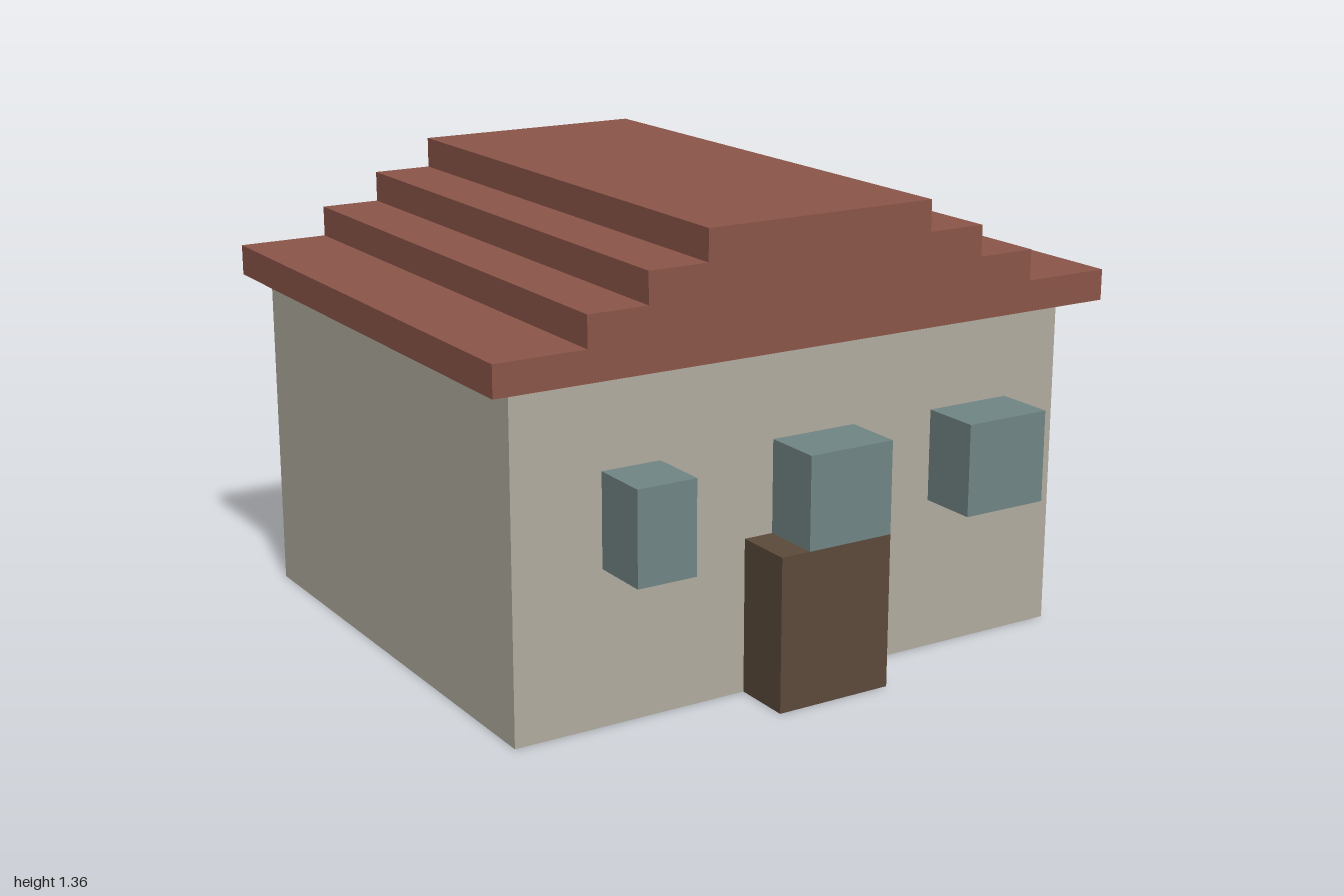
import * as THREE from 'three';

const U = 1 / 11; // one building module

function material(name, color) {
  const m = new THREE.MeshStandardMaterial({ color });
  m.name = name;
  return m;
}

// Box given by its limits, in modules
function block(name, mat, [x0, x1], [y0, y1], [z0, z1]) {
  const geo = new THREE.BoxGeometry((x1 - x0) * U, (y1 - y0) * U, (z1 - z0) * U);
  const mesh = new THREE.Mesh(geo, mat);
  mesh.name = name;
  mesh.position.set((x0 + x1) * U / 2, (y0 + y1) * U / 2, (z0 + z1) * U / 2);
  return mesh;
}

export function createModel() {
  const house = new THREE.Group();
  house.name = 'house';
  const plaster = material('plaster', 0xb2ad9f);
  const tile = material('roof tile', 0x8b5548);
  const wood = material('dark wood', 0x5b4a3a);
  const glass = material('glass', 0x708584);

  const back = -9.5, wallFront = 7.5, roofFront = 8.5, trimFront = 9.5;

  house.add(block('walls', plaster, [-10, 10], [0, 11], [back, wallFront]));

  // Stepped roof: one profile, mirrored and extruded from back to front
  const half = [];
  [11, 8, 6, 4].forEach((w, i) => half.push([w, 11 + i], [w, 12 + i]));
  const outline = [...half, ...half.map(([x, y]) => [-x, y]).reverse()];
  const shape = new THREE.Shape(outline.map(([x, y]) => new THREE.Vector2(x * U, y * U)));
  const roof = new THREE.Mesh(
    new THREE.ExtrudeGeometry(shape, { depth: (roofFront - back) * U, bevelEnabled: false }), tile);
  roof.name = 'steppedRoof';
  roof.position.z = back * U;
  house.add(roof);

  // Door and windows project from the front wall
  const depth = [wallFront, trimFront];
  house.add(block('door', wood, [-2, 2], [0, 5], depth));
  const windows = { rightWindow: [-7, -5], middleWindow: [-1, 2], leftWindow: [5, 8] };
  for (const [name, span] of Object.entries(windows)) {
    house.add(block(name, glass, span, [5, 8], depth));
  }
  return house;
}
